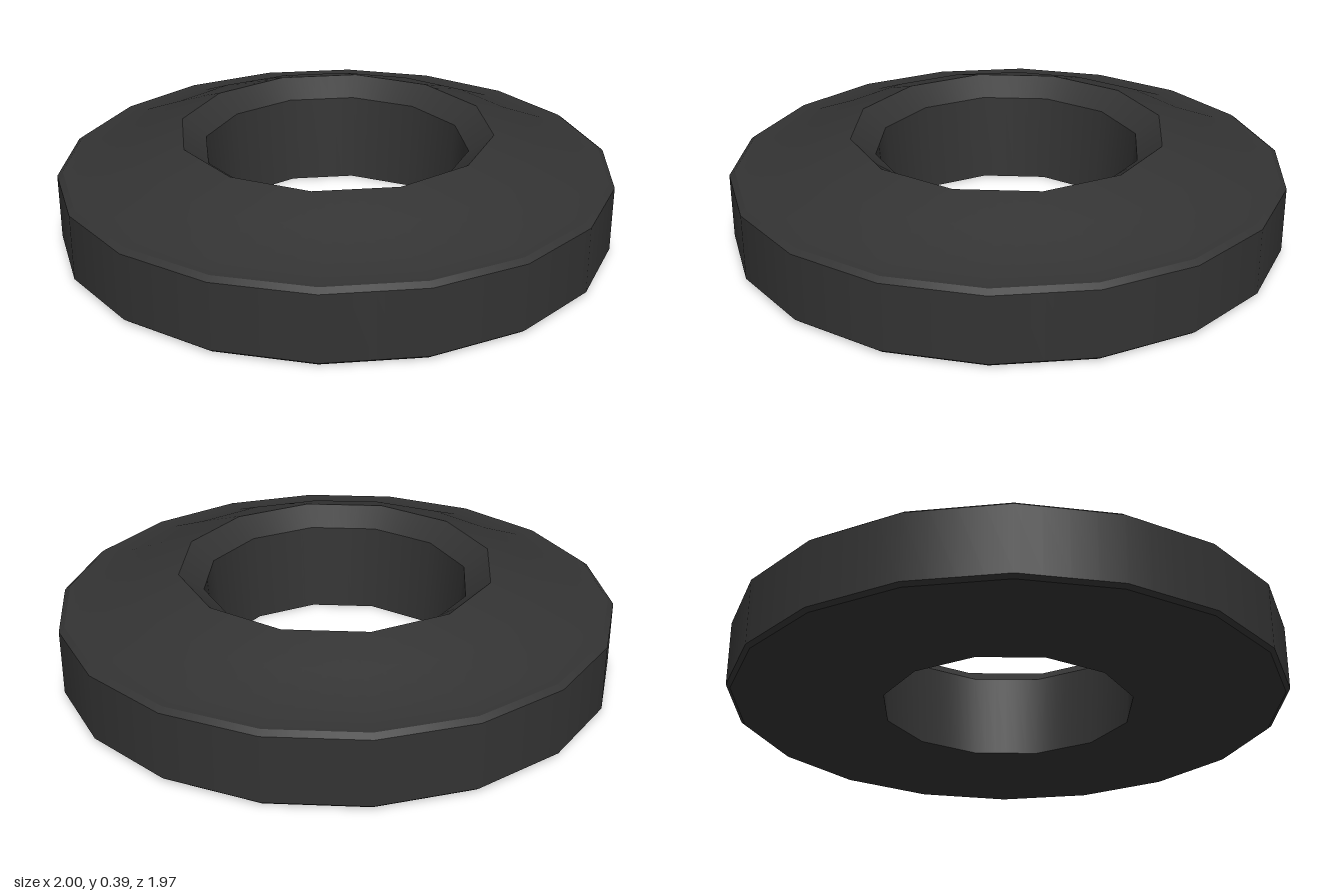
import * as THREE from 'three';

// Closed cross-section: [corner radius, height, number of sides]
const PROFILE = [
  [0.455, 0.0, 12],  // bore, bottom
  [0.48, 0.325, 12], // bore, top
  [0.567, 0.39, 12], // crest of the funnel
  [0.72, 0.342, 18], // sloping shoulder
  [0.9, 0.268, 18],
  [0.98, 0.265, 18], // outer rim
  [1.0, 0.25, 18],
  [1.0, 0.012, 18],
  [0.985, 0.0, 18],  // underside edge
];
const STEPS = 72; // divides evenly into the corners of both polygons

// Radius of a regular polygon in direction a; the 12-sided ones have edges on the axes
function polygonRadius(r, sides, a) {
  const step = (Math.PI * 2) / sides;
  const turned = a + (sides === 12 ? step / 2 : 0);
  const local = ((turned % step) + step) % step - step / 2;
  return (r * Math.cos(step / 2)) / Math.cos(local);
}

// Sweeps the cross-section around y, rounding the shading and keeping sharp profile edges
function sweepRing(profile) {
  const n = profile.length;
  const bandNormals = profile.map(([r, y], i) => {
    const [r2, y2] = profile[(i + 1) % n];
    return new THREE.Vector2(y - y2, r2 - r).normalize();
  });
  const edgeNormal = (band, neighbour) => {
    const a = bandNormals[band], b = bandNormals[(neighbour + n) % n];
    return a.dot(b) > 0.9 ? a.clone().add(b).normalize() : a;
  };
  const positions = [], normals = [], index = [];
  for (let i = 0; i < n; i++) {
    const base = positions.length / 3;
    const ends = [
      [profile[i], edgeNormal(i, i - 1)],
      [profile[(i + 1) % n], edgeNormal(i, i + 1)],
    ];
    for (let j = 0; j <= STEPS; j++) {
      const a = (j / STEPS) * Math.PI * 2, c = Math.cos(a), s = Math.sin(a);
      for (const [[r, y, sides], normal] of ends) {
        const radius = polygonRadius(r, sides, a);
        positions.push(radius * c, y, radius * s);
        normals.push(normal.x * c, normal.y, normal.x * s);
      }
      if (j < STEPS) {
        const k = base + j * 2;
        index.push(k, k + 2, k + 1, k + 1, k + 2, k + 3);
      }
    }
  }
  const geometry = new THREE.BufferGeometry();
  geometry.setAttribute('position', new THREE.Float32BufferAttribute(positions, 3));
  geometry.setAttribute('normal', new THREE.Float32BufferAttribute(normals, 3));
  geometry.setIndex(index);
  return geometry;
}

export function createModel() {
  const group = new THREE.Group();
  group.name = 'washer';
  const ring = new THREE.Mesh(
    sweepRing(PROFILE),
    new THREE.MeshStandardMaterial({ color: 0x333333 })
  );
  ring.name = 'ring';
  group.add(ring);
  return group;
}
